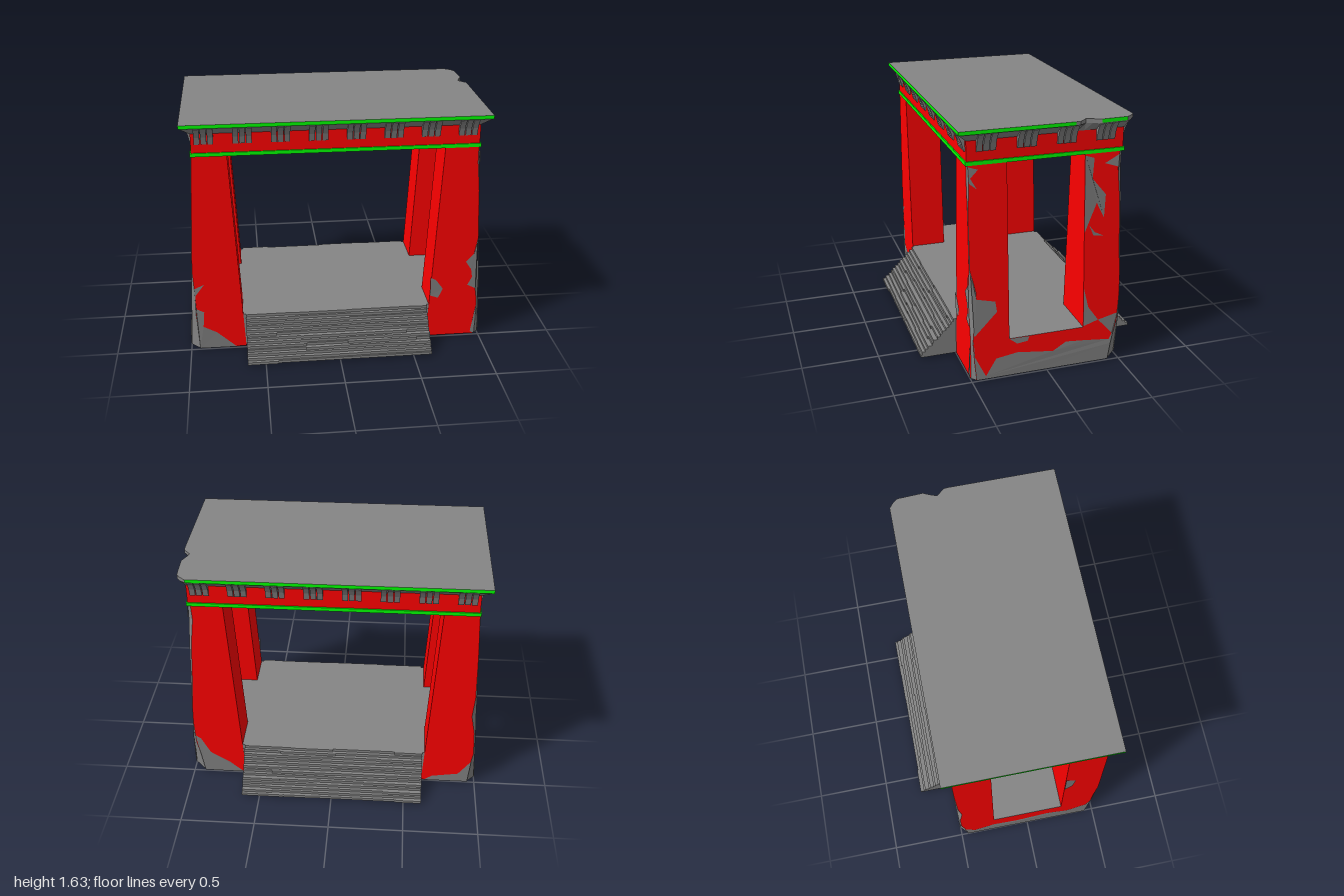
import * as THREE from 'three';

const mat = (color, side = THREE.FrontSide) =>
  new THREE.MeshStandardMaterial({ color, side, flatShading: true });
const stone = mat(0x858585), red = mat(0xff0000), green = mat(0x00ff00);
const wornStone = mat(0x808080, THREE.DoubleSide);

let seed = 7;
const rnd = () => (seed = (seed * 16807) % 2147483647) / 2147483647;

function add(parent, name, geometry, material, x = 0, y = 0, z = 0) {
  const mesh = new THREE.Mesh(geometry, material);
  mesh.name = name;
  mesh.position.set(x, y, z);
  parent.add(mesh);
}

// Box given by its min and max corners
function span(parent, name, material, x0, x1, y0, y1, z0, z1) {
  add(parent, name, new THREE.BoxGeometry(x1 - x0, y1 - y0, z1 - z0), material,
    (x0 + x1) / 2, (y0 + y1) / 2, (z0 + z1) / 2);
}

// Walls between stacked rings of [x, y, z]; only the chosen edges are made
function loft(rings, edges, flip = false) {
  const pos = [];
  for (let i = 0; i < rings.length - 1; i++) {
    for (const j of edges) {
      const k = (j + 1) % rings[i].length;
      const a = rings[i][j], b = rings[i][k], c = rings[i + 1][k], d = rings[i + 1][j];
      for (const p of flip ? [a, c, b, a, d, c] : [a, b, c, a, c, d]) pos.push(...p);
    }
  }
  const g = new THREE.BufferGeometry();
  g.setAttribute('position', new THREE.Float32BufferAttribute(pos, 3));
  g.computeVertexNormals();
  return g;
}

// Pillar faces lean inwards; the outer corner is worn by a varying chamfer
const outerX = y => 1 - 0.053 * y;
const innerX = y => 0.625 + 0.053 * y;
const levels = [0.01, 0.12, 0.27, 0.45, 0.6, 0.75, 1.1, 1.3, 1.41];
const wear = {
  '1,1': [0.03, 0.02, 0.012, 0.03, 0.04, 0.004, 0.002, 0.012, 0.008],
  '1,-1': [0.08, 0.06, 0.02, 0.004, 0.002, 0.01, 0.015, 0.03, 0.02],
  '-1,1': [0.06, 0.05, 0.03, 0.02, 0.004, 0.002, 0.002, 0.002, 0.002],
  '-1,-1': [0.05, 0.04, 0.01, 0.01, 0.03, 0.01, 0.002, 0.002, 0.002],
};
function wearAt(sx, sz, y) {
  const w = wear[`${sx},${sz}`];
  let i = 0;
  while (i < levels.length - 2 && y > levels[i + 1]) i++;
  const t = THREE.MathUtils.clamp((y - levels[i]) / (levels[i + 1] - levels[i]), 0, 1);
  return w[i] + (w[i + 1] - w[i]) * t;
}

function pillar(parent, sx, sz) {
  const g = new THREE.Group();
  g.name = 'pillar';
  const rings = levels.map(y => {
    const o = outerX(y), n = innerX(y), c = wearAt(sx, sz, y);
    return [[n, 0.5], [o - c, 0.5], [o, 0.5 - c], [o, 0.25], [n, 0.25]]
      .map(([x, z]) => [x * sx, y, z * sz]);
  });
  add(g, 'pillarFaces', loft(rings, [0, 2, 3, 4], sx * sz < 0), red);
  add(g, 'wornCorner', loft(rings, [1], sx * sz < 0), stone);
  parent.add(g);
}

// Bare stone patch on a wall: 'side' takes (z, y), 'end' takes (x, y)
function patch(parent, face, sign, points) {
  const shape = new THREE.Shape(points.map(p => new THREE.Vector2(...p)));
  const geo = new THREE.ShapeGeometry(shape), p = geo.attributes.position;
  for (let i = 0; i < p.count; i++) {
    const u = p.getX(i), y = p.getY(i), off = 0.002 + rnd() * 0.005;
    const s = u < 0 ? -1 : 1;
    if (face === 'side') {
      const lim = 0.5 - wearAt(sign, s, y);
      p.setXYZ(i, sign * (outerX(y) + off), y, s * Math.min(Math.abs(u), lim));
    } else {
      const lim = outerX(y) - wearAt(s, sign, y);
      p.setXYZ(i, s * Math.min(Math.abs(u), lim), y, sign * (0.5 + off));
    }
  }
  geo.computeVertexNormals();
  add(parent, 'wornPatch', geo, wornStone);
}

// Flight of thin, cracked steps rising to the floor
function steps(parent, sz) {
  const g = new THREE.Group();
  g.name = sz > 0 ? 'frontSteps' : 'backSteps';
  const n = 13, h = 0.25 / n;
  for (let i = 0; i < n; i++) {
    const cuts = [-0.622, -0.45 + rnd() * 0.25, -0.1 + rnd() * 0.25, 0.25 + rnd() * 0.3, 0.622];
    for (let k = 0; k < 4; k++) {
      const depth = 0.25 - i * 0.0193 - rnd() * 0.011;
      span(g, 'step', stone, cuts[k], cuts[k + 1], 0.01 + i * h, 0.01 + (i + 1) * h,
        sz > 0 ? 0.49 : -0.5 - depth, sz > 0 ? 0.5 + depth : -0.49);
    }
  }
  parent.add(g);
}

// Group of three curved slats under the cornice
const slat = new THREE.ExtrudeGeometry(new THREE.Shape([
  [-0.01, 1.49], [0.008, 1.49], [0.02, 1.54], [0.036, 1.575], [0.06, 1.606], [-0.01, 1.606],
].map(p => new THREE.Vector2(...p))), { depth: 0.036, bevelEnabled: false });
slat.translate(0, 0, -0.018);
function bracket(parent, x, z, turn) {
  const g = new THREE.Group();
  g.name = 'bracket';
  for (const k of [-1, 0, 1]) add(g, 'bracketSlat', slat, stone, 0, 0, k * 0.042);
  g.position.set(x, 0, z);
  g.rotation.y = turn;
  parent.add(g);
}

export function createModel() {
  const model = new THREE.Group();
  model.name = 'pavilion';

  // Slightly bulging underside that follows the worn corners
  const foot = [[-1, 1], [1, 1], [1, -1], [-1, -1]].flatMap(([sx, sz]) => {
    const c = wear[`${sx},${sz}`][0], x = outerX(0.01);
    const pair = [[sx * (x - c), 0.01, sz * 0.5], [sx * x, 0.01, sz * (0.5 - c)]];
    return sx * sz > 0 ? pair : pair.reverse();
  });
  add(model, 'underside', loft([foot.map(() => [0, 0, 0]), foot], foot.map((_, i) => i)), stone);

  // Floor and side sills
  span(model, 'floor', stone, -0.9, 0.9, 0.02, 0.26, -0.499, 0.499);
  for (const s of [-1, 1]) {
    const rings = [0.01, 0.13, 0.26].map(y => [[0.9, 0.26], [outerX(y), 0.26],
      [outerX(y), -0.26], [0.9, -0.26]].map(([x, z]) => [s * x, y, z]));
    add(model, 'sill', loft(rings, [1], s < 0), red);
    span(model, 'sillTop', stone, s > 0 ? 0.9 : -0.985, s > 0 ? 0.985 : -0.9, 0.02, 0.26, -0.26, 0.26);
    steps(model, s);
    for (const t of [-1, 1]) pillar(model, s, t);
  }

  // Worn patches on the left side
  patch(model, 'side', 1, [[0.5, 0.3], [0.49, 0.18], [0.41, 0.03], [0.34, 0.14], [0.2, 0.16],
    [-0.04, 0.13], [-0.13, 0.18], [-0.25, 0.17], [-0.43, 0.15], [-0.45, 0.19], [-0.35, 0.3],
    [-0.5, 0.33], [-0.5, 0.12], [-0.5, 0.01], [-0.2, 0.01], [0.1, 0.01], [0.5, 0.01]]);
  patch(model, 'side', 1, [[0.5, 0.74], [0.48, 0.66], [0.46, 0.56], [0.34, 0.53], [0.33, 0.46],
    [0.48, 0.31], [0.5, 0.45]]);
  patch(model, 'side', 1, [[-0.25, 0.53], [-0.28, 0.4], [-0.35, 0.3], [-0.25, 0.27]]);
  patch(model, 'side', 1, [[-0.25, 1.4], [-0.31, 1.38], [-0.3, 1.25], [-0.34, 1.2], [-0.39, 1.14],
    [-0.38, 0.99], [-0.33, 1.09], [-0.25, 0.9]]);
  patch(model, 'side', 1, [[-0.28, 0.95], [-0.32, 0.9], [-0.38, 0.87], [-0.31, 0.88]]);
  patch(model, 'side', 1, [[-0.5, 1.39], [-0.38, 1.34], [-0.47, 1.31], [-0.5, 1.25]]);
  patch(model, 'side', 1, [[0.5, 1.4], [0.43, 1.38], [0.48, 1.33], [0.44, 1.26], [0.5, 1.3]]);
  patch(model, 'side', 1, [[0.25, 0.26], [0.12, 0.26], [0.13, 0.23], [0.2, 0.22]]);

  // Worn patches on the right side
  patch(model, 'side', -1, [[0.5, 0.33], [0.44, 0.2], [0.3, 0.13], [0.15, 0.16], [-0.08, 0.12],
    [-0.25, 0.14], [-0.4, 0.09], [-0.5, 0.16], [-0.5, 0.01], [-0.1, 0.01], [0.5, 0.01]]);
  patch(model, 'side', -1, [[0.25, 0.98], [0.32, 0.92], [0.3, 0.8], [0.25, 0.74]]);

  // Worn patches on front and back
  patch(model, 'end', 1, [[-0.99, 0.47], [-0.89, 0.5], [-0.95, 0.42], [-0.97, 0.32], [-0.9, 0.29],
    [-0.91, 0.18], [-0.82, 0.13], [-0.69, 0.01], [-1, 0.01], [-1, 0.2]]);
  patch(model, 'end', 1, [[0.64, 0.47], [0.68, 0.45], [0.73, 0.38], [0.7, 0.31], [0.645, 0.33]]);
  patch(model, 'end', 1, [[0.96, 0.73], [0.945, 0.64], [0.88, 0.58], [0.92, 0.52], [0.93, 0.46],
    [0.9, 0.4], [0.97, 0.37], [0.98, 0.5]]);
  patch(model, 'end', 1, [[0.98, 0.25], [0.96, 0.17], [0.94, 0.03], [0.99, 0.01]]);
  patch(model, 'end', -1, [[0.99, 0.33], [0.93, 0.3], [0.87, 0.18], [0.74, 0.1], [0.64, 0.01], [1, 0.01]]);
  patch(model, 'end', -1, [[-0.98, 0.2], [-0.88, 0.08], [-0.7, 0.05], [-0.64, 0.01], [-1, 0.01]]);

  // Ceiling, frieze and lower band
  span(model, 'ceiling', stone, -0.91, 0.91, 1.405, 1.43, -0.49, 0.49);
  span(model, 'frieze', red, -0.922, 0.922, 1.41, 1.56, -0.5, 0.5);
  for (const s of [-1, 1]) {
    span(model, 'lowerBand', green, -0.93, 0.93, 1.408, 1.432, s * 0.5 - 0.008, s * 0.5 + 0.008);
    span(model, 'lowerBand', green, s * 0.92 - 0.01, s * 0.92 + 0.01, 1.408, 1.432, -0.507, 0.507);
  }

  // Cornice: sloping underside, green rim and flat roof, chipped at the back corner
  const outline = [[-0.99, 0.562], [0.988, 0.562], [0.988, -0.16], [0.985, -0.19], [0.94, -0.24],
    [0.955, -0.28], [0.978, -0.33], [0.97, -0.5], [0.95, -0.53], [0.91, -0.562], [-0.99, -0.562]];
  const edges = outline.map((_, i) => i), chipped = [2, 3, 4, 5, 7, 8];
  const ring = (y, out) => outline.map(([x, z]) => [
    THREE.MathUtils.clamp(x, -0.922 - out, 0.922 + out), y,
    THREE.MathUtils.clamp(z, -0.5 - out, 0.5 + out)]);
  add(model, 'corniceCove', loft([ring(1.558, 0), ring(1.608, 0.056), ring(1.612, 1)], edges), stone);
  const rim = [ring(1.612, 1), ring(1.635, 1)];
  add(model, 'roofRim', loft(rim, edges.filter(e => !chipped.includes(e))), green);
  add(model, 'roofRimChips', loft(rim, chipped), stone);
  const roof = new THREE.ShapeGeometry(new THREE.Shape(outline.map(([x, z]) => new THREE.Vector2(x, -z))));
  add(model, 'roof', roof.rotateX(-Math.PI / 2), stone, 0, 1.635, 0);

  // Brackets along all four sides
  for (const s of [-1, 1]) {
    for (let i = 0; i < 8; i++) bracket(model, -0.84 + i * 0.24, s * 0.5, -s * Math.PI / 2);
    for (let i = 0; i < 4; i++) bracket(model, s * 0.922, -0.38 + i * 0.253, s > 0 ? 0 : Math.PI);
  }
  return model;
}
